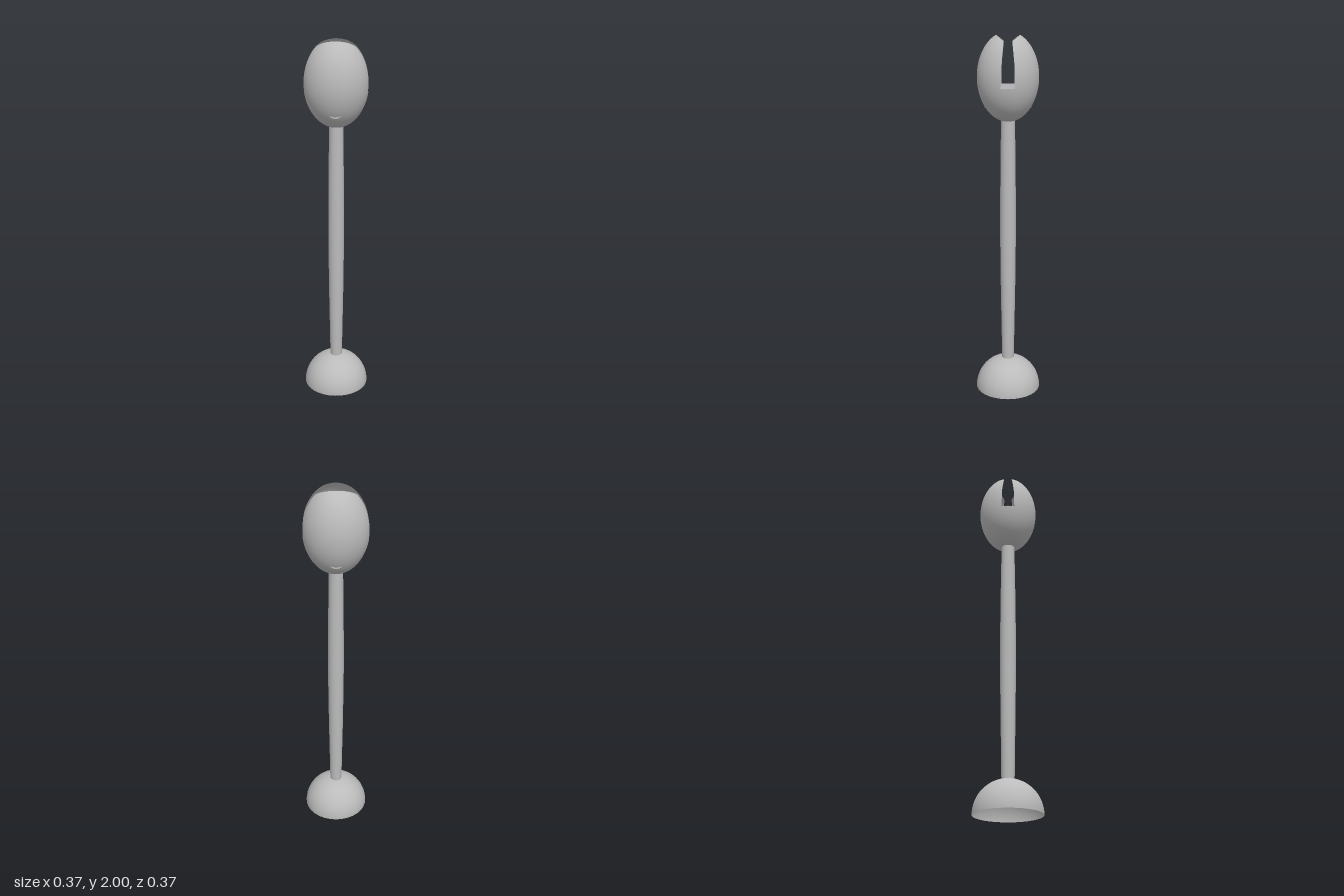
import * as THREE from 'three';
import { ParametricGeometry } from 'three/addons/geometries/ParametricGeometry.js';

const EGG = { y: 1.782, rx: 0.171, rz: 0.165, b: 0.235, slotY: 1.735 };

// Linear interpolation through [x, value] pairs
function ramp(pairs, x) {
  for (let i = 1; i < pairs.length; i++) {
    const [x0, v0] = pairs[i - 1], [x1, v1] = pairs[i];
    if (x <= x1) return v0 + (v1 - v0) * Math.max(0, (x - x0) / (x1 - x0));
  }
  return pairs[pairs.length - 1][1];
}

// Half width of the slot, opening out into the round hole at the top
const slotHalf = (y) => ramp([[1.735, 0.037], [1.85, 0.034], [1.968, 0.022], [1.985, 0.043], [1.999, 0.062]], y);

export function createModel() {
  const group = new THREE.Group();
  const grey = new THREE.MeshStandardMaterial({ color: 0xbbbbbb, side: THREE.DoubleSide });
  grey.name = 'grey';

  const add = (name, geometry) => {
    const mesh = new THREE.Mesh(geometry, grey);
    mesh.name = name;
    group.add(mesh);
    return mesh;
  };

  // Hollow dome foot, open underneath
  add('domeBase', new THREE.SphereGeometry(0.183, 32, 16, 0, Math.PI * 2, 0, Math.PI / 2));

  // Slightly swollen stem
  const stemProfile = [[0.034, 0.17], [0.036, 0.3], [0.041, 0.6], [0.044, 0.9], [0.043, 1.15], [0.04, 1.4], [0.037, 1.57]];
  add('stem', new THREE.LatheGeometry(stemProfile.map(([r, y]) => new THREE.Vector2(r, y)), 24));

  // Lower bowl of the egg, up to the slot floor
  const cutAngle = Math.acos((EGG.slotY - EGG.y) / EGG.b);
  const bowl = add('eggBowl', new THREE.SphereGeometry(1, 40, 16, 0, Math.PI * 2, cutAngle, Math.PI - cutAngle));
  bowl.scale.set(EGG.rx, EGG.b, EGG.rz);
  bowl.position.y = EGG.y;

  // Two upper shells facing each other across the slot
  const topAngle = Math.acos((1.999 - EGG.y) / EGG.b);
  const shell = new ParametricGeometry((u, v, p) => {
    const polar = cutAngle + (topAngle - cutAngle) * v;
    const y = EGG.y + EGG.b * Math.cos(polar);
    const s = Math.sin(polar);
    const start = Math.asin(Math.min(1, slotHalf(y) / (EGG.rz * s)));
    const a = Math.PI - start - (Math.PI - 2 * start) * u;
    p.set(EGG.rx * s * Math.cos(a), y, EGG.rz * s * Math.sin(a));
  }, 28, 40);
  add('frontShell', shell);
  add('backShell', shell).rotation.y = Math.PI;

  // Cross pin lying low inside the bowl
  const pin = add('crossPin', new THREE.CylinderGeometry(0.04, 0.04, 0.25, 20));
  pin.rotation.x = Math.PI / 2;
  pin.position.y = 1.66;

  return group;
}
